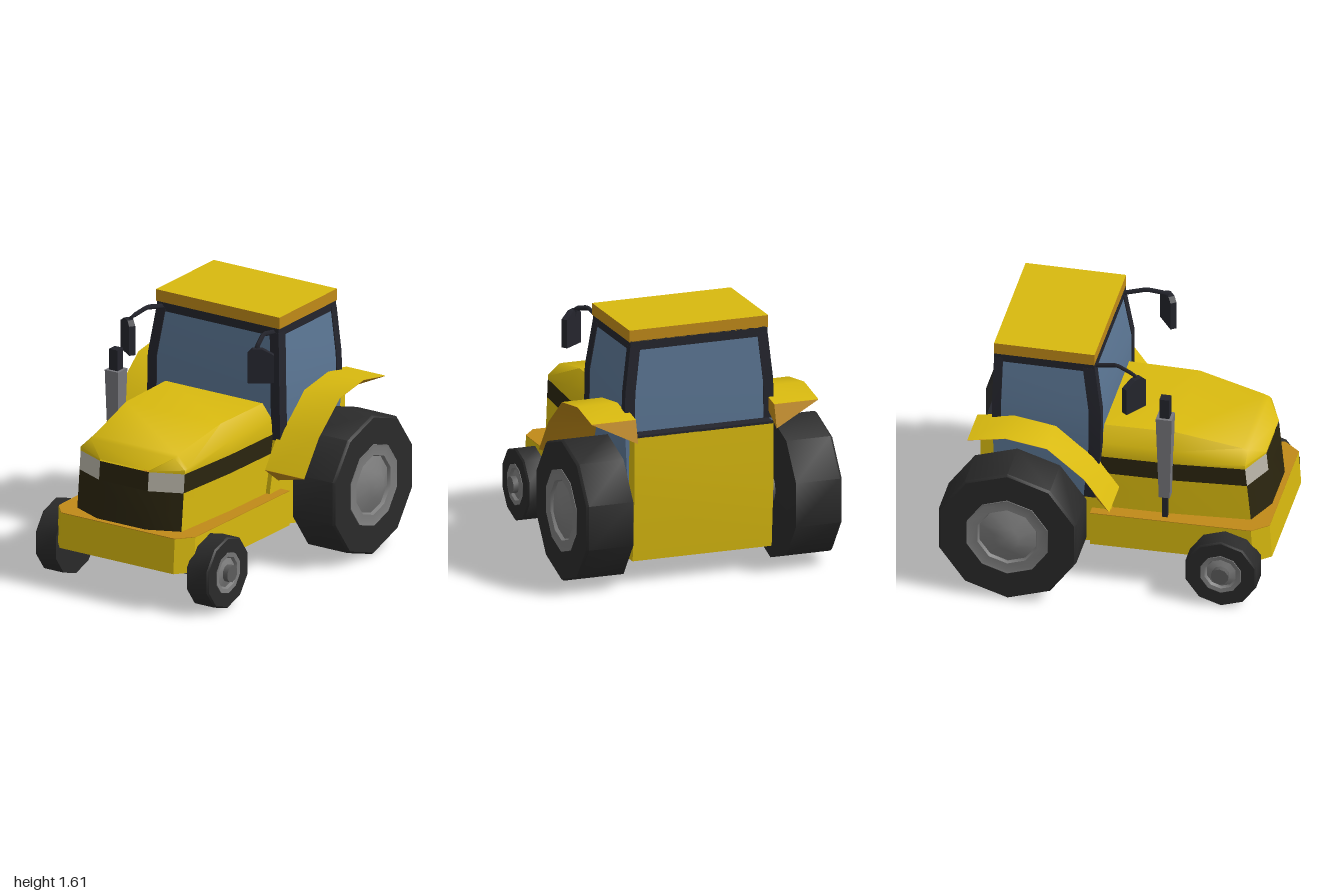
import * as THREE from 'three';
import { toCreasedNormals } from 'three/addons/utils/BufferGeometryUtils.js';

const mat = (color) => new THREE.MeshStandardMaterial({ color, side: THREE.DoubleSide });
const yellow = mat(0xd8b90f), orange = mat(0xc08a18), dark = mat(0x24252d), glass = mat(0x5b7694);
const rubber = mat(0x2a2a2a), steel = mat(0x7c7c7c), hubGrey = mat(0x5c5c5c), grille = mat(0x2b250f);
const lamp = mat(0xb9b5a8), pipeGrey = mat(0x77777c);

export function createModel() {
  const root = new THREE.Group();

  function add(name, geometry, material, parent = root) {
    const mesh = new THREE.Mesh(geometry, material);
    mesh.name = name;
    parent.add(mesh);
    return mesh;
  }

  function box(name, size, pos, material, parent) {
    const mesh = add(name, new THREE.BoxGeometry(...size), material, parent);
    mesh.position.set(...pos);
    return mesh;
  }

  // Skin over a list of rings; closed rings are capped at both ends
  function loft(rings, closed = false, crease = 0.5) {
    const n = rings[0].length, idx = [];
    for (let i = 0; i < rings.length - 1; i++) {
      for (let j = 0; j < (closed ? n : n - 1); j++) {
        const k = (j + 1) % n, a = i * n + j, b = i * n + k;
        idx.push(a, a + n, b + n, a, b + n, b);
      }
    }
    if (closed) {
      const e = (rings.length - 1) * n;
      for (let j = 1; j < n - 1; j++) idx.push(0, j, j + 1, e, e + j + 1, e + j);
    }
    const g = new THREE.BufferGeometry();
    g.setAttribute('position', new THREE.Float32BufferAttribute(rings.flat(2), 3));
    g.setIndex(idx);
    return toCreasedNormals(g, crease);
  }

  // Half outline [x, z] from the back to the front, mirrored into a ring at height y
  const mirrored = (half, y) => [
    ...half.map(([x, z]) => [x, y, z]),
    ...half.slice().reverse().map(([x, z]) => [-x, y, z]),
  ];

  // Lower chassis with bevelled nose
  const plan = (f) => [[0.52, -0.12], [0.505, f - 0.1], [0.42, f]];
  add('chassis', loft([mirrored(plan(1), 0.26), mirrored(plan(0.985), 0.483)], true), yellow);
  add('chassisDeck', loft([mirrored(plan(0.985), 0.483), mirrored(plan(0.985), 0.487)], true), orange);

  // Rear body: side profile [z, y] carried across the width
  const profile = [[-0.1, 0.94], [0, 0.5], [0, 0.26], [-0.2, 0.235], [-0.6, 0.145],
    [-0.79, 0.145], [-0.82, 0.55], [-0.82, 0.94]];
  add('rearBody', loft([-0.457, 0.457].map((x) => profile.map(([z, y]) => [x, y, z])), true, 0.35), yellow);
  box('rearShelf', [0.91, 0.015, 0.09], [0, 0.945, -0.775], dark);

  // Hood sides, grille and headlamps
  const hood = new THREE.Group();
  hood.name = 'hood';
  root.add(hood);
  const hoodRing = (y) => {
    const t = (y - 0.48) * 0.1;
    return mirrored([[0.43, -0.1], [0.42, 0.38], [0.385, 0.86 - t], [0.18, 0.95 - t]], y);
  };
  const panel = (name, y0, y1, from, to, m) =>
    add(name, loft([hoodRing(y0).slice(from, to + 1), hoodRing(y1).slice(from, to + 1)]), m, hood);
  for (const [from, to] of [[0, 2], [5, 7]]) {
    panel('hoodSide', 0.48, 0.73, from, to, yellow);
    panel('hoodStripe', 0.73, 0.85, from, to, grille);
  }
  panel('grille', 0.48, 0.73, 2, 5, grille);
  panel('grilleTop', 0.73, 0.85, 3, 4, grille);
  panel('headlamp', 0.73, 0.85, 2, 3, lamp);
  panel('headlamp', 0.73, 0.85, 4, 5, lamp);

  // Hood top: stations of z, half width, shoulder height, crown half width, crown height
  const stations = [[0.913, 0.18, 0.855, 0.18, 0.86], [0.823, 0.385, 0.875, 0.31, 0.94],
    [0.79, 0.387, 0.88, 0.31, 0.953], [0.38, 0.42, 0.94, 0.35, 1.04], [-0.1, 0.43, 0.95, 0.36, 1.04]];
  add('hoodTop', loft(stations.map(([z, w, s, cw, c]) => [
    [w, 0.85, z], [w, s, z], [cw, c, z], [-cw, c, z], [-w, s, z], [-w, 0.85, z],
  ]), false, 0.9), yellow, hood);

  // Cab: levels of height, half width, front z, back z
  const cab = new THREE.Group();
  cab.name = 'cab';
  root.add(cab);
  const levels = [[0.57, 0.465, -0.1, -0.73], [0.95, 0.485, -0.065, -0.735],
    [1.2, 0.48, -0.065, -0.735], [1.5, 0.445, -0.11, -0.73]];
  add('cabGlass', loft(levels.map(([y, w, f, b]) => mirrored([[w, b], [w, f]], y)), true), glass, cab);
  for (const s of [1, -1]) {
    for (const front of [true, false]) {
      add('cabPillar', loft(levels.slice(front ? 0 : 1).map(([y, w, f, b]) => {
        const x0 = s * (w - 0.06), x1 = s * (w + 0.006);
        const z0 = front ? f + 0.006 : b - 0.006, z1 = front ? f - 0.07 : b + 0.05;
        return [[x0, y, z0], [x1, y, z0], [x1, y, z1], [x0, y, z1]];
      }), true), dark, cab);
    }
  }
  box('cabTopRail', [0.9, 0.06, 0.63], [0, 1.505, -0.42], dark, cab);
  const roofMats = [orange, orange, yellow, orange, orange, orange];
  box('roof', [0.912, 0.075, 0.63], [0, 1.568, -0.42], roofMats, cab);

  // Fenders: wedge section between an upper sheet and a lower inner edge
  const upper = [[0.05, 0.66], [-0.11, 0.88], [-0.34, 1.07], [-0.6, 1.11], [-0.84, 1.065]];
  const lower = [[-0.09, 0.55], [-0.25, 0.85], [-0.45, 0.985], [-0.68, 1.03], [-0.88, 0.92]];
  for (const s of [1, -1]) {
    const xi = s * 0.455, xo = s * 0.745;
    add('fenderTop', loft(upper.map(([z, y]) => [[xi, y, z], [xo, y, z]]), false, 0.6), yellow);
    add('fenderUnderside', loft(upper.map(([z, y], i) => [
      [xo, y - 0.002, z], [xi, lower[i][1], lower[i][0]], [xi, y - 0.002, z],
    ]), true, 0.5), orange);
  }

  // Ten-sided wheel parts turned from [radius, x] profiles
  function turned(name, points, s, z, y, material, crease = 0.7) {
    const g = new THREE.LatheGeometry(points.map((p) => new THREE.Vector2(...p)), 10, Math.PI / 2);
    g.rotateZ(-s * Math.PI / 2);
    const mesh = add(name, toCreasedNormals(g, crease), material);
    mesh.position.set(0, y, z);
  }
  for (const s of [1, -1]) {
    turned('rearTire', [[0, 0.53], [0.3, 0.53], [0.453, 0.535], [0.453, 0.825], [0.44, 0.84],
      [0.268, 0.84], [0.255, 0.8]], s, -0.57, 0.453, rubber);
    turned('rearRim', [[0.265, 0.8], [0.265, 0.842], [0.25, 0.838], [0.195, 0.838], [0.185, 0.815]],
      s, -0.57, 0.453, steel);
    turned('rearHub', [[0.19, 0.815], [0.08, 0.862], [0, 0.872]], s, -0.57, 0.453, steel, 1);
    turned('frontTire', [[0, 0.48], [0.15, 0.48], [0.232, 0.485], [0.232, 0.63], [0.222, 0.64],
      [0.135, 0.64], [0.125, 0.61]], s, 0.725, 0.231, rubber);
    turned('frontRim', [[0.132, 0.61], [0.132, 0.642], [0.105, 0.638], [0.095, 0.62], [0.055, 0.635]],
      s, 0.725, 0.231, steel);
    turned('frontHub', [[0.055, 0.61], [0.055, 0.67], [0, 0.67]], s, 0.725, 0.231, hubGrey);
  }

  // Axles
  for (const [name, r, len, y, z] of [['frontAxle', 0.047, 1, 0.212, 0.725], ['rearAxle', 0.1, 1.1, 0.453, -0.57]]) {
    const axle = add(name, new THREE.CylinderGeometry(r, r, len, 10), hubGrey);
    axle.rotation.z = Math.PI / 2;
    axle.position.set(0, y, z);
  }

  // Exhaust stack on the right side
  const square = (r, y) => [[-r, y, -r], [-r, y, r], [r, y, r], [r, y, -r]].map(([x, h, z]) => [x - 0.452, h, z + 0.338]);
  add('exhaustFoot', loft([square(0.016, 0.485), square(0.016, 0.65)], true), dark);
  add('exhaustPipe', loft([square(0.034, 0.64), square(0.05, 1.22)], true), pipeGrey);
  add('exhaustTip', loft([square(0.031, 1.2), square(0.031, 1.355)], true), dark);

  // Mirrors on bent arms
  const face = new THREE.Shape([[-0.08, 1.27], [0.08, 1.27], [0.08, 1.45], [0.01, 1.49], [-0.05, 1.49], [-0.08, 1.46]]
    .map((p) => new THREE.Vector2(...p)));
  for (const s of [1, -1]) {
    const mirror = new THREE.Group();
    mirror.name = 'mirror';
    mirror.scale.x = s;
    root.add(mirror);
    const head = add('mirrorHead', new THREE.ExtrudeGeometry(face, { depth: 0.04, bevelEnabled: false }), dark, mirror);
    head.position.set(0.48, 0, 0.135);
    head.rotation.y = 0.63;
    const path = new THREE.CurvePath();
    const pts = [[0.41, 1.5, -0.12], [0.43, 1.535, 0.03], [0.465, 1.5, 0.15], [0.475, 1.44, 0.16]]
      .map((p) => new THREE.Vector3(...p));
    for (let i = 0; i < 3; i++) path.add(new THREE.LineCurve3(pts[i], pts[i + 1]));
    add('mirrorArm', new THREE.TubeGeometry(path, 12, 0.016, 4), dark, mirror);
  }

  return root;
}
